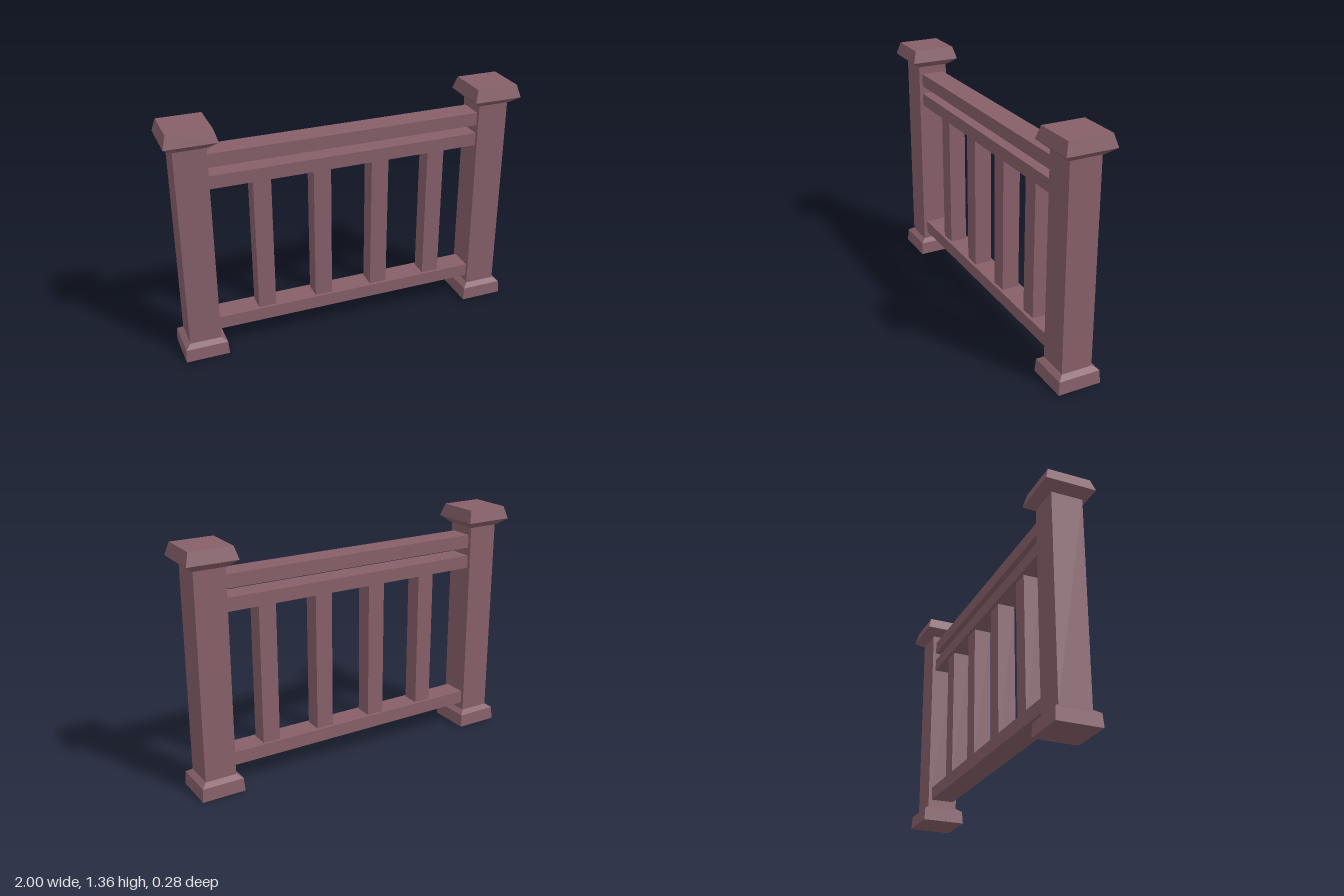
import * as THREE from 'three';

const wood = new THREE.MeshStandardMaterial({ color: 0x865f69, flatShading: true });
wood.name = 'mauve wood';

// Square stack from [halfWidth, y] points, capped at both ends
function squareProfile(name, points) {
  const ring = points.map(([h, y]) => new THREE.Vector2(h * Math.SQRT2, y));
  ring.unshift(new THREE.Vector2(0, points[0][1]));
  ring.push(new THREE.Vector2(0, points[points.length - 1][1]));
  const mesh = new THREE.Mesh(new THREE.LatheGeometry(ring, 4, Math.PI / 4), wood);
  mesh.name = name;
  return mesh;
}

// Box placed by its bottom and top heights
function beam(name, width, depth, bottom, top, x = 0) {
  const mesh = new THREE.Mesh(new THREE.BoxGeometry(width, top - bottom, depth), wood);
  mesh.position.set(x, (bottom + top) / 2, 0);
  mesh.name = name;
  return mesh;
}

// Newel post: flared foot, square shaft and bevelled cap
function createPost(name, x) {
  const post = new THREE.Group();
  post.name = name;
  post.add(
    squareProfile('postBase', [[0.123, 0], [0.118, 0.074], [0.09, 0.095]]),
    beam('postShaft', 0.176, 0.176, 0.09, 1.25),
    squareProfile('postCap', [[0.094, 1.247], [0.14, 1.285], [0.12, 1.355]])
  );
  post.position.x = x;
  return post;
}

export function createModel() {
  const model = new THREE.Group();
  model.name = 'railing';

  model.add(createPost('leftPost', 0.86), createPost('rightPost', -0.86));

  // Horizontal rails between the posts
  const rails = [
    ['bottomRail', 0.137, 0.212],
    ['middleRail', 1.003, 1.077],
    ['topRail', 1.125, 1.2],
  ];
  for (const [name, bottom, top] of rails) model.add(beam(name, 1.56, 0.136, bottom, top));

  // Evenly spaced balusters
  for (let i = 0; i < 4; i++) {
    model.add(beam('baluster' + (i + 1), 0.1, 0.1, 0.205, 1.01, -0.484 + i * 0.339));
  }
  return model;
}
